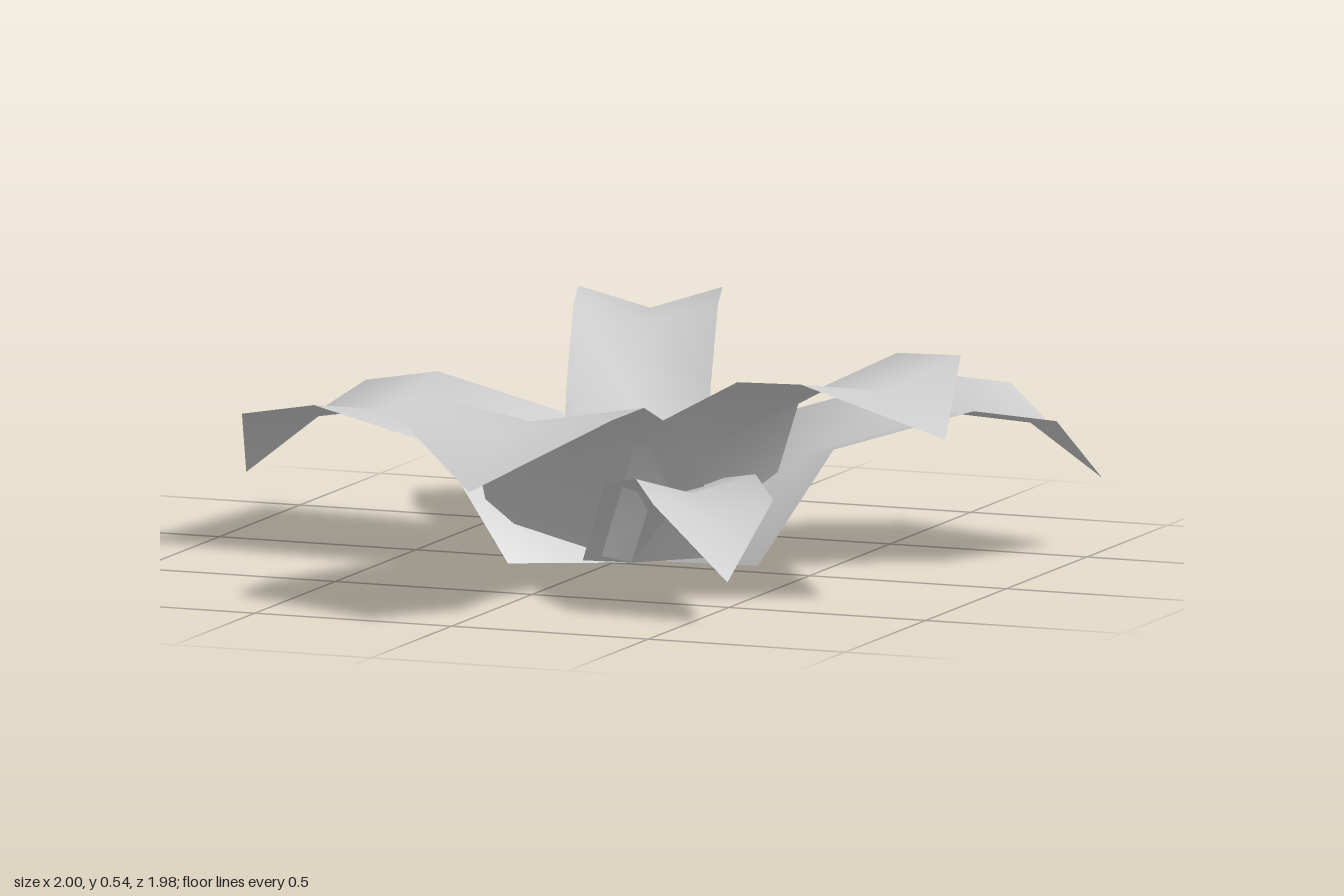
import * as THREE from 'three';

// Leaf profile as [distance from the stem, height]: midrib and raised margins
const MIDRIB = [[0, 0], [0.29, 0.29], [0.62, 0.43], [0.82, 0.43], [1.01, 0.32]];
const MARGIN = [[0.16, 0.055], [0.3, 0.35], [0.62, 0.48], [0.82, 0.48]];

// Creased leaf blade growing along +z, pointed at both ends
function leafGeometry(width, length) {
  const positions = [];
  const index = [];
  const add = (x, [z, y]) => positions.push(x, y * length, z * length);
  MARGIN.forEach((m, i) => {
    // Narrow leaves start closer to the stem
    const edge = i === 0 ? [0.06 + m[0] * width * 1.1, m[1]] : m;
    add(-width / 2, edge);
    add(0, MIDRIB[i]);
    add(width / 2, edge);
  });
  add(0, MIDRIB[4]);
  for (let r = 0; r < 3; r++) {
    for (let c = 0; c < 2; c++) {
      const a = r * 3 + c;
      index.push(a, a + 3, a + 4, a, a + 4, a + 1);
    }
  }
  // Tip
  index.push(9, 12, 10, 10, 12, 11);
  const geometry = new THREE.BufferGeometry();
  geometry.setAttribute('position', new THREE.Float32BufferAttribute(positions, 3));
  geometry.setIndex(index);
  geometry.computeVertexNormals();
  return geometry;
}

export function createModel() {
  const group = new THREE.Group();
  group.name = 'leafRosette';
  const leafGrey = new THREE.MeshStandardMaterial({ color: 0xcccccc, side: THREE.DoubleSide });
  leafGrey.name = 'leafGrey';

  // Leaves: turn and pitch in degrees, offset outward from the centre
  const leaves = [
    { name: 'frontLeaf', turn: 0, pitch: 0, width: 0.57, length: 1, offset: 0 },
    { name: 'rightLeaf', turn: -98.2, pitch: -10.6, width: 0.575, length: 1, offset: 0 },
    { name: 'leftLeaf', turn: 71, pitch: 4.5, width: 0.57, length: 1, offset: 0 },
    { name: 'backLeftLeaf', turn: 123.1, pitch: -8.5, width: 0.575, length: 1, offset: 0.08 },
    { name: 'backLeaf', turn: -160.8, pitch: 2, width: 0.34, length: 1.03, offset: 0 },
    { name: 'smallFrontLeaf', turn: 36.5, pitch: -11.5, width: 0.29, length: 0.87, offset: 0 },
  ];
  for (const { name, turn, pitch, width, length, offset } of leaves) {
    const a = THREE.MathUtils.degToRad(turn);
    const leaf = new THREE.Mesh(leafGeometry(width, length), leafGrey);
    leaf.name = name;
    leaf.rotation.set(-THREE.MathUtils.degToRad(pitch), a, 0, 'YXZ');
    leaf.position.set(0.04 + Math.sin(a) * offset, 0.008, -0.02 + Math.cos(a) * offset);
    group.add(leaf);
  }
  return group;
}
